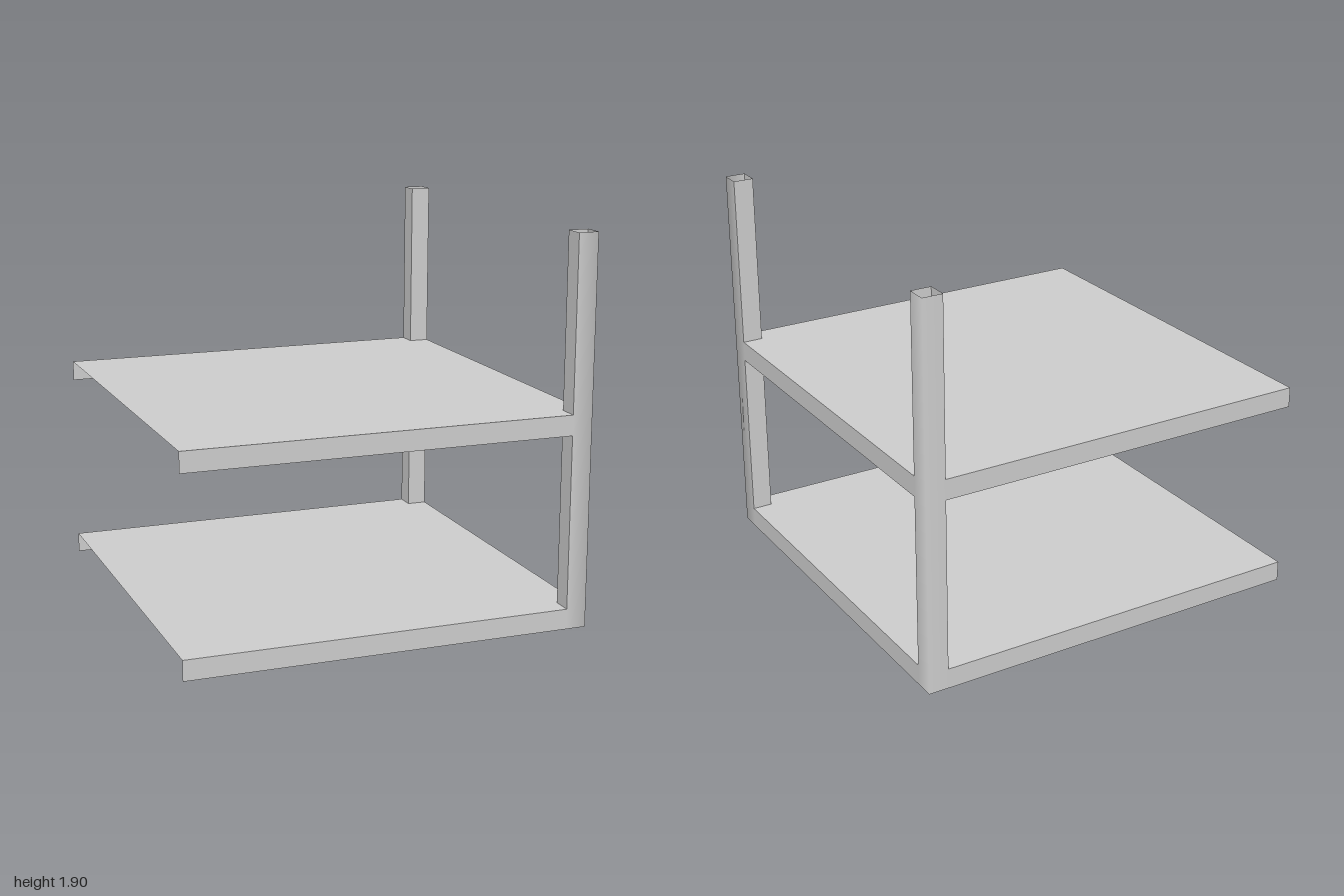
import * as THREE from 'three';

const material = new THREE.MeshStandardMaterial({ color: 0xcccccc, side: THREE.DoubleSide });
const OUT = 1, IN = 0.9, TOP = 1.9, RIM = 0.1;
const SHELF_TOPS = [0.1, 1.05];

// Thin upright panel from a to b (each [x, z]); it faces right of the a-to-b direction.
// Optional end normals ([x, z]) give a soft-shaded corner.
function wall(name, a, b, y0, y1, na, nb) {
  const flat = [a[1] - b[1], b[0] - a[0]];
  const n = (v) => new THREE.Vector3(v[0], 0, v[1]).normalize().toArray();
  const nA = n(na ?? flat), nB = n(nb ?? flat);
  const geo = new THREE.BufferGeometry();
  geo.setAttribute('position', new THREE.Float32BufferAttribute(
    [a[0], y0, a[1], b[0], y0, b[1], b[0], y1, b[1], a[0], y1, a[1]], 3));
  geo.setAttribute('normal', new THREE.Float32BufferAttribute([...nA, ...nB, ...nB, ...nA], 3));
  geo.setIndex([0, 1, 2, 0, 2, 3]);
  const mesh = new THREE.Mesh(geo, material);
  mesh.name = name;
  return mesh;
}

// Shelf sheet, notched around the posts, with a rim on three sides and one open side
function makeShelf(top) {
  const shelf = new THREE.Group();
  shelf.name = 'shelf';
  const outline = new THREE.Shape([
    [-OUT, -OUT], [IN, -OUT], [IN, -IN], [OUT, -IN],
    [OUT, IN], [IN, IN], [IN, OUT], [-OUT, OUT],
  ].map(([x, y]) => new THREE.Vector2(x, y)));
  const sheet = new THREE.Mesh(new THREE.ShapeGeometry(outline).rotateX(-Math.PI / 2), material);
  sheet.name = 'shelfTop';
  sheet.position.y = top;
  shelf.add(
    sheet,
    wall('frontRim', [-OUT, OUT], [IN, OUT], top - RIM, top),
    wall('sideRim', [OUT, IN], [OUT, -IN], top - RIM, top),
    wall('backRim', [IN, -OUT], [-OUT, -OUT], top - RIM, top),
  );
  return shelf;
}

// Hollow post, open at both ends; s = 1 front, -1 back
function makePost(s) {
  const post = new THREE.Group();
  post.name = s > 0 ? 'frontPost' : 'backPost';
  // Mirrored walls swap their ends so they keep facing outward
  const add = (name, a, b, y0, y1, na, nb) => {
    const m = (v) => v && [v[0], v[1] * s];
    post.add(s > 0 ? wall(name, a, b, y0, y1, na, nb)
      : wall(name, m(b), m(a), y0, y1, m(nb), m(na)));
  };
  // Outer sides share a soft corner
  add('outerFace', [IN, OUT], [OUT, OUT], 0, TOP, [0, 1], [1, 1]);
  add('outerSide', [OUT, OUT], [OUT, IN], 0, TOP, [1, 1], [1, 0]);
  // Inner sides stop at the rims
  SHELF_TOPS.forEach((y0, i) => {
    const y1 = i + 1 < SHELF_TOPS.length ? SHELF_TOPS[i + 1] - RIM : TOP;
    add('innerFace', [OUT, IN], [IN, IN], y0, y1);
    add('innerSide', [IN, IN], [IN, OUT], y0, y1);
  });
  return post;
}

export function createModel() {
  const model = new THREE.Group();
  model.name = 'twoTierShelf';
  SHELF_TOPS.forEach((top) => model.add(makeShelf(top)));
  [1, -1].forEach((s) => model.add(makePost(s)));
  return model;
}
